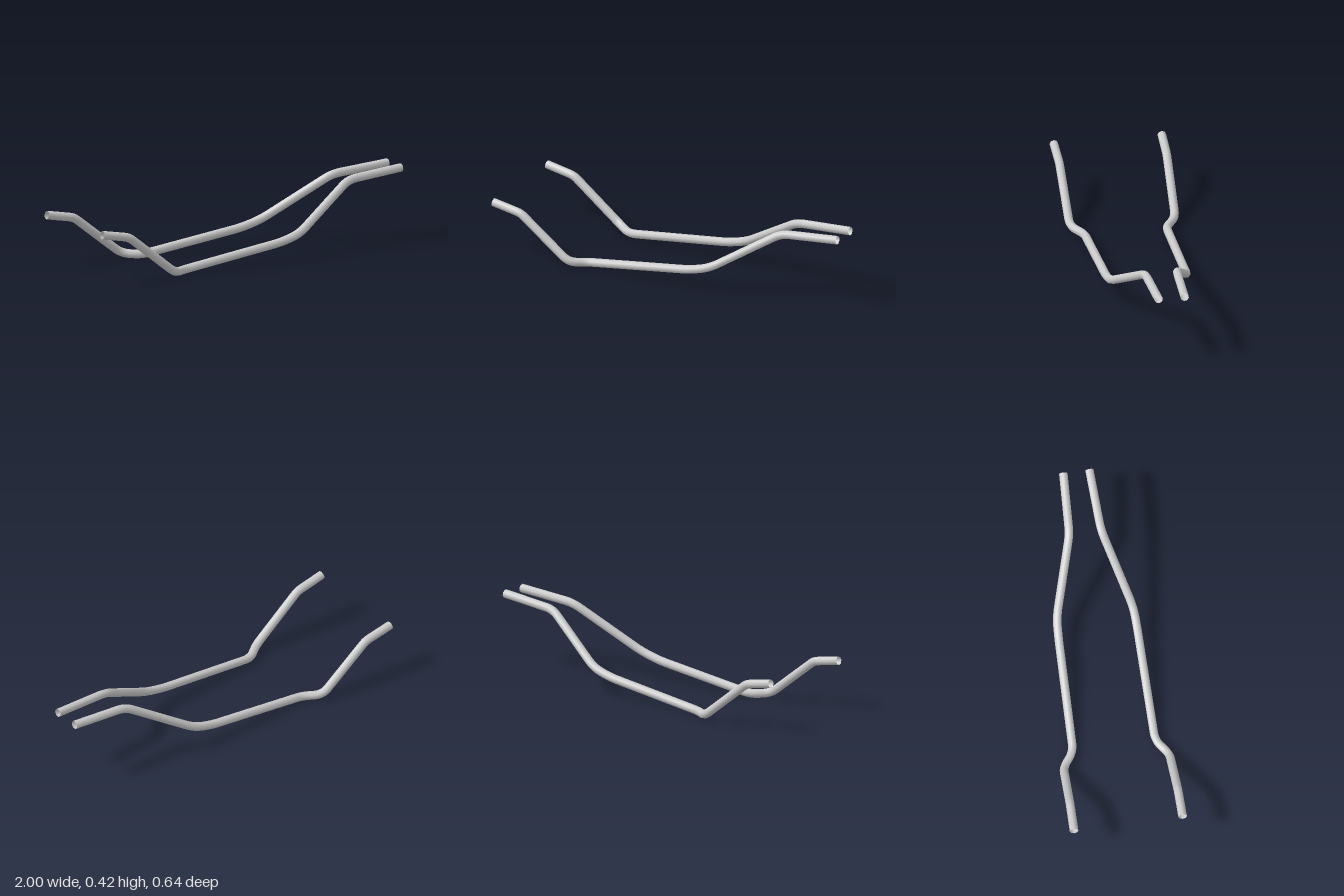
import * as THREE from 'three';

const RADIUS = 0.0235;

// Rail centreline corners: x, y, z, bend length
const CORNERS = [
  [-0.997, 0.287, 0.295, 0],
  [-0.83, 0.256, 0.293, 0.025],
  [-0.537, 0.029, 0.288, 0.045],
  [-0.45, 0.023, 0.223, 0.045],
  [0.16, 0.104, 0.214, 0.04],
  [0.28, 0.135, 0.209, 0.06],
  [0.66, 0.37, 0.086, 0.05],
  [0.998, 0.398, 0.071, 0],
];

// Straight runs joined by rounded bends
function railPath(side) {
  const points = CORNERS.map(([x, y, z]) => new THREE.Vector3(x, y, z * side));
  const path = new THREE.CurvePath();
  let from = points[0];
  for (let i = 1; i < points.length - 1; i++) {
    const p = points[i];
    const bend = CORNERS[i][3];
    const toward = (q) => p.clone().add(q.clone().sub(p).setLength(bend));
    const start = toward(points[i - 1]);
    const end = toward(points[i + 1]);
    path.add(new THREE.LineCurve3(from, start));
    path.add(new THREE.QuadraticBezierCurve3(start, p, end));
    from = end;
  }
  path.add(new THREE.LineCurve3(from, points[points.length - 1]));
  return path;
}

export function createModel() {
  const group = new THREE.Group();
  group.name = 'pipeRails';
  const material = new THREE.MeshStandardMaterial({ color: 0xcccccc, side: THREE.DoubleSide });

  // Mirrored pair of open bent pipes
  for (const side of [1, -1]) {
    const pipe = new THREE.Mesh(new THREE.TubeGeometry(railPath(side), 140, RADIUS, 8, false), material);
    pipe.name = side > 0 ? 'frontPipe' : 'backPipe';
    group.add(pipe);
  }
  return group;
}
